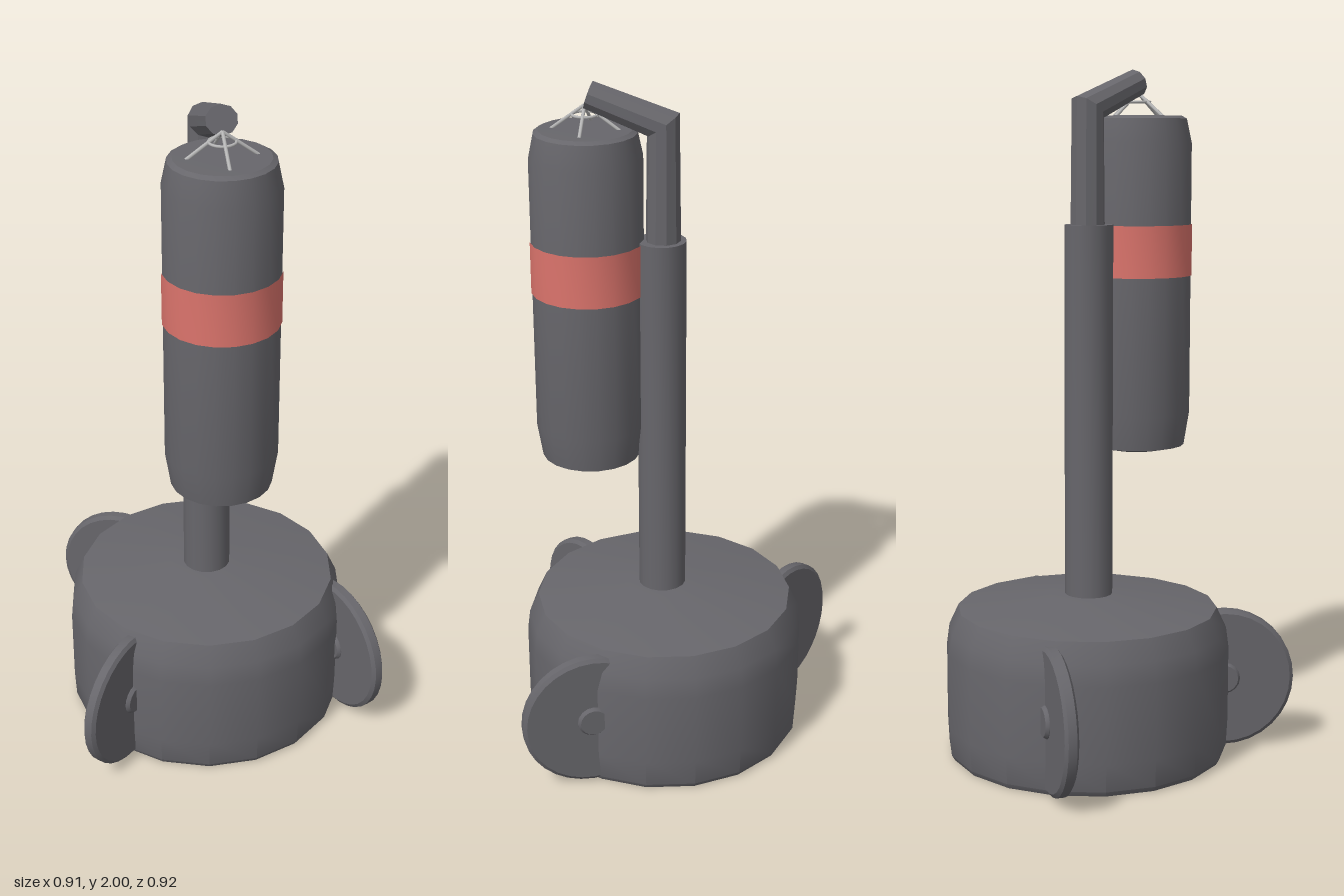
import * as THREE from 'three';
import { toCreasedNormals } from 'three/addons/utils/BufferGeometryUtils.js';

const paint = (name, color, extra = {}) => {
  const m = new THREE.MeshStandardMaterial({ color, ...extra });
  m.name = name;
  return m;
};

export function createModel() {
  const grey = paint('charcoal', 0x67666b);
  const greyFlat = grey;
  const red = paint('coral red', 0xdb746c);
  const steel = paint('light steel', 0xb9b9b9);
  const group = new THREE.Group();
  const CX = -0.01, CZ = 0.012, BAG_Z = 0.227;

  const add = (name, geo, mat, x = 0, y = 0, z = 0, parent = group) => {
    const mesh = new THREE.Mesh(geo, mat);
    mesh.name = name;
    mesh.position.set(x, y, z);
    parent.add(mesh);
    return mesh;
  };
  // Revolved profile (bottom to top) with sharp edges kept
  const turned = (points, sides, start = 0) => toCreasedNormals(
    new THREE.LatheGeometry(points.map(p => new THREE.Vector2(...p)), sides, start), 0.5);

  // Weighted base drum
  add('baseDrum', turned([[0, 0.005], [0.405, 0.005], [0.414, 0.02], [0.418, 0.1], [0.418, 0.32],
    [0.41, 0.38], [0.382, 0.44], [0.11, 0.478], [0, 0.478]], 18, Math.PI / 18), grey, CX, 0, CZ);

  // Lower post
  add('lowerPost', turned([[0, 0.46], [0.07, 0.46], [0.07, 1.56], [0, 1.56]], 16), grey, CX, 0, 0.018);

  // Upper post and arm: one tube, mitred at the elbow
  const arm = new THREE.CylinderGeometry(1, 1, 2, 10, 2);
  const pos = arm.attributes.position;
  for (let i = 0; i < pos.count; i++) {
    const level = Math.round(pos.getY(i)) + 1;
    const u = pos.getX(i), w = pos.getZ(i);
    if (level === 0) pos.setXYZ(i, u * 0.051, 1.5, w * 0.05);
    else if (level === 1) pos.setXYZ(i, u * 0.048, 1.887 - w * 0.033, w * 0.045);
    else pos.setXYZ(i, u * 0.043, 1.962 - w * 0.038, 0.204 + w * 0.013);
  }
  add('upperPostAndArm', toCreasedNormals(arm, 0.5), greyFlat, CX, 0, 0.013);

  // Hanging bag with tapered ends
  add('bag', turned([[0, 0.885], [0.085, 0.887], [0.143, 0.9], [0.159, 1.0], [0.159, 1.79],
    [0.144, 1.86], [0.13, 1.868], [0, 1.87]], 20), grey, CX, 0, BAG_Z);
  add('bagStripe', turned([[0.162, 1.405], [0.162, 1.555]], 20), red, CX, 0, BAG_Z);

  // Four hanging straps and their ring
  const hanger = new THREE.Group();
  hanger.name = 'hanger';
  hanger.position.set(CX, 0, BAG_Z);
  group.add(hanger);
  for (let i = 0; i < 4; i++) {
    const a = i * Math.PI / 2;
    const path = new THREE.LineCurve3(new THREE.Vector3(0, 1.935, 0),
      new THREE.Vector3(Math.cos(a) * 0.095, 1.866, Math.sin(a) * 0.095));
    add('strap', new THREE.TubeGeometry(path, 1, 0.005, 6), steel, 0, 0, 0, hanger);
  }
  add('hangerRing', new THREE.TorusGeometry(0.036, 0.004, 6, 20), steel, 0, 1.908, 0, hanger)
    .rotation.x = Math.PI / 2;

  // Swivelled wheels half sunk into the drum: [x, z, heading in degrees from +x towards +z]
  const wheelGeo = turned([[0, -0.02], [0.196, -0.02], [0.207, -0.012], [0.207, 0.012],
    [0.196, 0.02], [0, 0.02]], 32);
  const hubGeo = turned([[0, -0.031], [0.04, -0.031], [0.047, -0.022], [0.047, 0.022],
    [0.04, 0.031], [0, 0.031]], 16);
  for (const [x, z, heading] of [[-0.30, 0.297, 134], [0.369, 0.175, 68], [-0.21, -0.344, 211]]) {
    const wheel = new THREE.Group();
    wheel.name = 'wheel';
    wheel.position.set(x, 0.22, z);
    wheel.rotation.y = -heading * Math.PI / 180;
    group.add(wheel);
    add('wheelDisc', wheelGeo, grey, 0, 0, 0, wheel).rotation.x = Math.PI / 2;
    add('wheelHub', hubGeo, grey, 0, 0, 0, wheel).rotation.x = Math.PI / 2;
  }
  return group;
}
